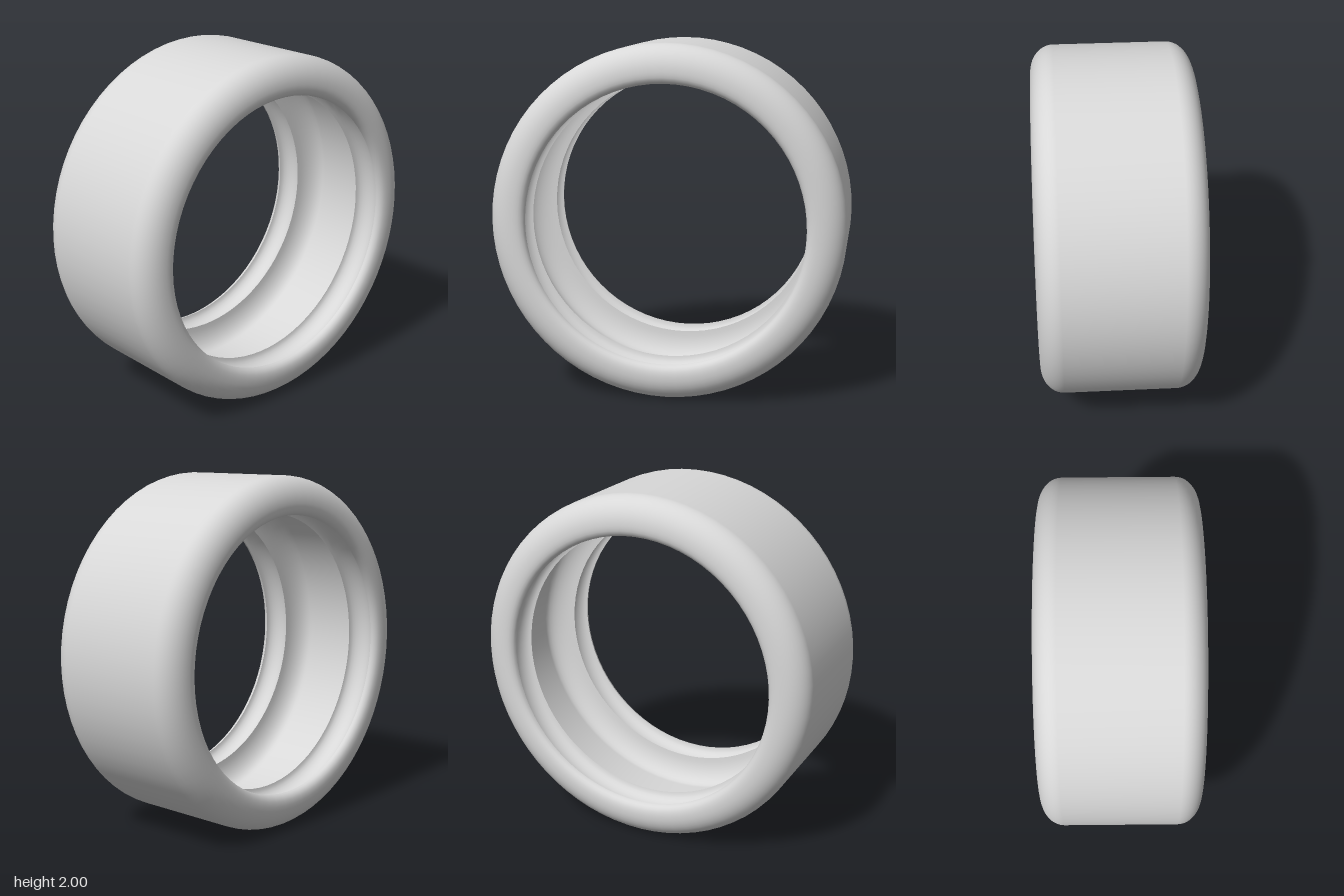
import * as THREE from 'three';

const SEGMENTS = 72;
const H = Math.PI / 2;

// Points along part of an ellipse in the (radius, z) plane
function arc(cr, cz, rr, rz, from, to, steps = 8) {
  return Array.from({ length: steps + 1 }, (_, i) => {
    const a = from + ((to - from) * i) / steps;
    return [cr + rr * Math.cos(a), cz + rz * Math.sin(a)];
  });
}

// The same strip on the other side of the tyre
const flip = (points) => points.map(([r, z]) => [r, -z]).reverse();

export function createModel() {
  const rubber = new THREE.MeshStandardMaterial({ color: 0xd8d8d8 });
  rubber.name = 'light grey rubber';

  const tyre = new THREE.Group();
  tyre.name = 'tyre';
  tyre.position.y = 1;

  // Spins a (radius, z) strip about the z axis
  function ring(name, points) {
    const geometry = new THREE.LatheGeometry(points.map(([r, z]) => new THREE.Vector2(r, z)), SEGMENTS);
    geometry.rotateX(Math.PI / 2);
    const mesh = new THREE.Mesh(geometry, rubber);
    mesh.name = name;
    tyre.add(mesh);
  }

  // Outer skin: flat tread, rounded shoulders, sidewalls rolling in to the lips
  const shoulder = [
    ...arc(0.85, 0.32, 0.15, 0.13, 0, H, 10),
    ...arc(0.835, 0.41, 0.05, 0.039, H, 2 * H, 5),
  ];
  ring('treadAndSidewalls', [...flip(shoulder), ...shoulder]);

  // Rounded groove behind each lip, ending at a sharp ridge
  const groove = arc(0.785, 0.33, 0.06, 0.08, H, -H, 12);
  ring('frontGroove', groove);
  ring('backGroove', flip(groove));

  // Deep hollow between the ridges, with a flat floor and steep rounded walls
  const corner = arc(0.785, 0.155, 0.155, 0.095, H, 0);
  ring('innerHollow', [...corner, ...flip(corner)]);

  return tyre;
}
